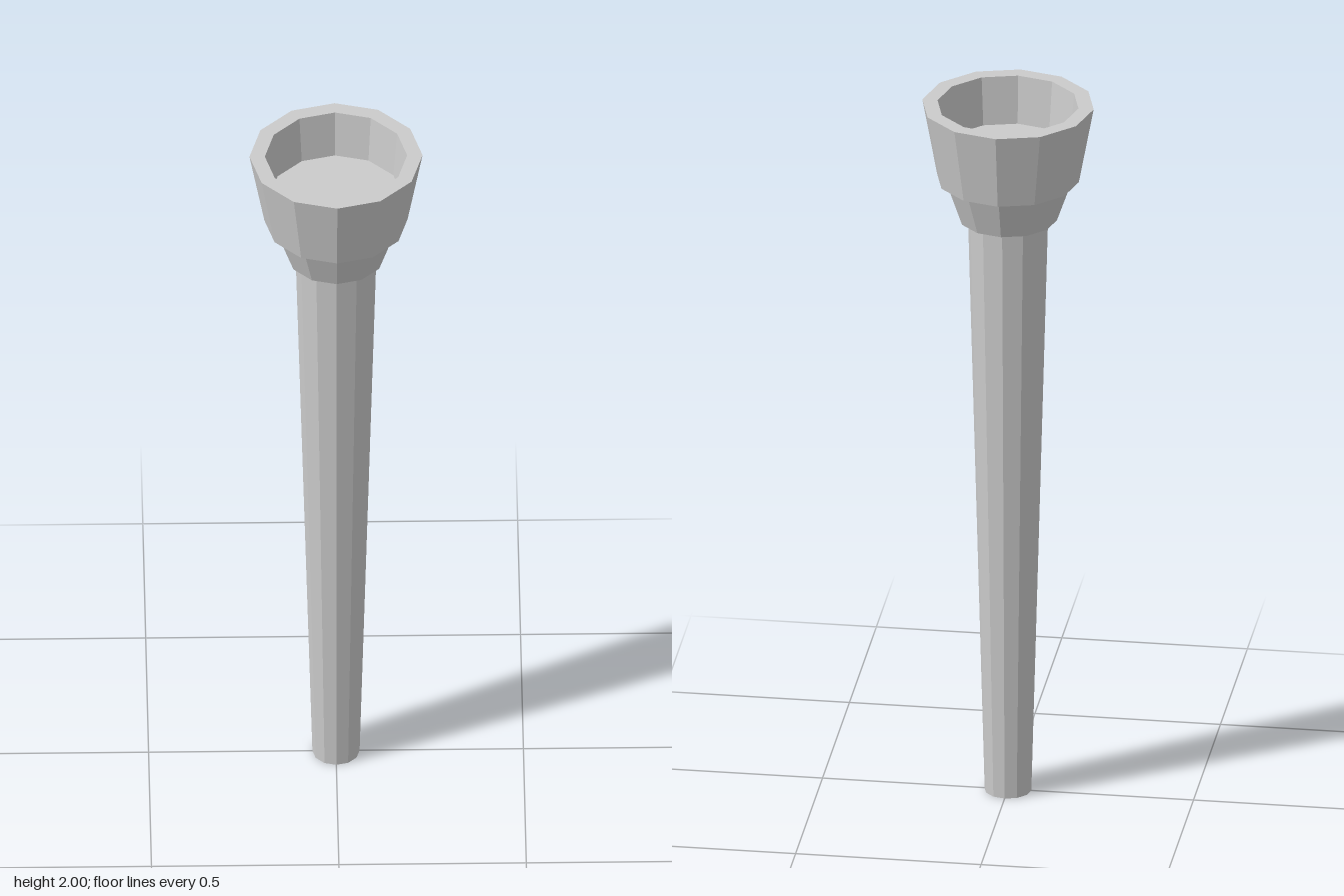
import * as THREE from 'three';

const SIDES = 12;

// Faceted solid of revolution from [radius, height] points, bottom to top
function turned(name, profile) {
  const points = profile.map(([r, y]) => new THREE.Vector2(r, y));
  const material = new THREE.MeshStandardMaterial({ color: 0xcccccc, flatShading: true });
  const mesh = new THREE.Mesh(new THREE.LatheGeometry(points, SIDES), material);
  mesh.name = name;
  return mesh;
}

export function createModel() {
  const model = new THREE.Group();
  model.name = 'torch';

  // Long shaft, narrowing towards the foot
  model.add(turned('handle', [[0, 0], [0.063, 0], [0.108, 1.67], [0, 1.67]]));

  // Flared collar between shaft and cup
  model.add(turned('collar', [[0, 1.67], [0.132, 1.67], [0.172, 1.785], [0, 1.785]]));

  // Cup with a thick rim and a recessed floor
  model.add(turned('cup', [
    [0, 1.785], [0.191, 1.785], [0.231, 2], // underside and outer wall
    [0.19, 2], [0.178, 1.865], [0, 1.865],  // rim, inner wall and floor
  ]));

  return model;
}
